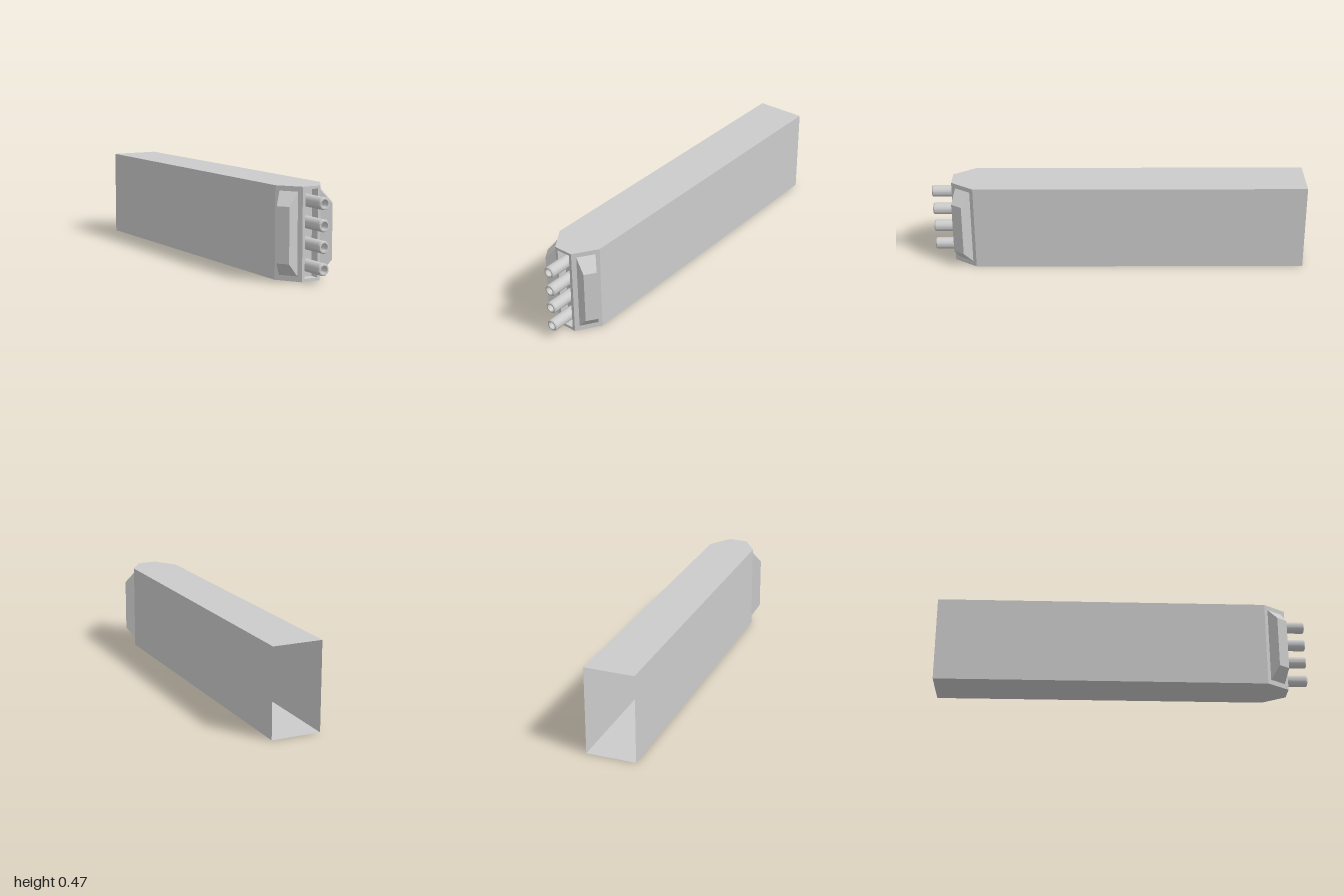
import * as THREE from 'three';
import { toCreasedNormals } from 'three/addons/utils/BufferGeometryUtils.js';

const grey = new THREE.MeshStandardMaterial({ color: 0xcccccc });
const greyThin = new THREE.MeshStandardMaterial({ color: 0xcccccc, side: THREE.DoubleSide });

// Flat-shaded geometry from convex polygons, each fanned from its first corner
function panels(polygons) {
  const pos = [];
  for (const p of polygons) {
    for (let i = 1; i < p.length - 1; i++) pos.push(...p[0], ...p[i], ...p[i + 1]);
  }
  const geo = new THREE.BufferGeometry();
  geo.setAttribute('position', new THREE.Float32BufferAttribute(pos, 3));
  geo.computeVertexNormals();
  return geo;
}

// Quads joining two rings of corners
function bridge(a, b) {
  return a.map((p, i) => {
    const j = (i + 1) % a.length;
    return [p, a[j], b[j], b[i]];
  });
}

function add(parent, name, geo, mat = grey) {
  const mesh = new THREE.Mesh(geo, mat);
  mesh.name = name;
  parent.add(mesh);
  return mesh;
}

const W = 0.132, H = 0.467, NOSE = 0.052, FRONT = 0.89, SHOULDER = 0.77, BACK = -1;
const RECESS = 0.05;

// Counter-clockwise rectangle facing +z
const rect = (x, y0, y1, z) => [[-x, y0, z], [x, y0, z], [x, y1, z], [-x, y1, z]];

// Long housing: chamfered nose, open at the back
function housingGeometry() {
  const plan = [[-W, BACK], [-W, SHOULDER], [-NOSE, FRONT], [NOSE, FRONT], [W, SHOULDER], [W, BACK]];
  const bottom = plan.map(([x, z]) => [x, 0, z]);
  const top = plan.map(([x, z]) => [x, H, z]);
  // skip the nose (2), which has an opening, and the open back (5)
  const walls = bridge(bottom, top).filter((_, i) => i !== 2 && i !== 5);
  const opening = rect(0.037, 0.015, 0.453, FRONT);
  const floor = rect(0.037, 0.015, 0.453, FRONT - RECESS);
  return panels([
    ...walls, top, [...bottom].reverse(),
    ...bridge(rect(NOSE, 0, H, FRONT), opening),
    ...bridge(opening, floor), floor,
  ]);
}

// Tapered block on a nose chamfer, s = side sign
function cheekGeometry(s) {
  const ring = (x0, z0, x1, z1, y0, y1) =>
    [[s * x0, y0, z0], [s * x1, y0, z1], [s * x1, y1, z1], [s * x0, y1, z0]];
  const base = ring(0.066, 0.869, 0.12, 0.788, 0.027, 0.442);
  const cap = ring(0.126, 0.887, 0.163, 0.832, 0.094, 0.374);
  const faces = [...bridge(base, cap), cap, [...base].reverse()];
  return panels(s > 0 ? faces : faces.map((f) => [...f].reverse()));
}

// Hollow barrel with a bevelled muzzle, running along +z
function barrelGeometry() {
  const len = 1 - (FRONT - RECESS);
  const profile = [
    [0.031, 0], [0.031, len - 0.006], [0.027, len], [0.02, len], [0.02, len - 0.1], [0, len - 0.1],
  ].map(([r, y]) => new THREE.Vector2(r, y));
  const geo = new THREE.LatheGeometry(profile, 24);
  geo.rotateX(Math.PI / 2);
  return toCreasedNormals(geo, 0.5);
}

export function createModel() {
  const model = new THREE.Group();
  model.name = 'launcherPod';

  add(model, 'housing', housingGeometry(), greyThin);
  add(model, 'leftCheek', cheekGeometry(1));
  add(model, 'rightCheek', cheekGeometry(-1));

  // Column of four barrels in the nose recess
  const barrels = new THREE.Group();
  barrels.name = 'barrels';
  const geo = barrelGeometry();
  [0.074, 0.183, 0.287, 0.394].forEach((y, i) => {
    add(barrels, `barrel${i + 1}`, geo).position.set(0, y, FRONT - RECESS);
  });
  model.add(barrels);

  return model;
}
